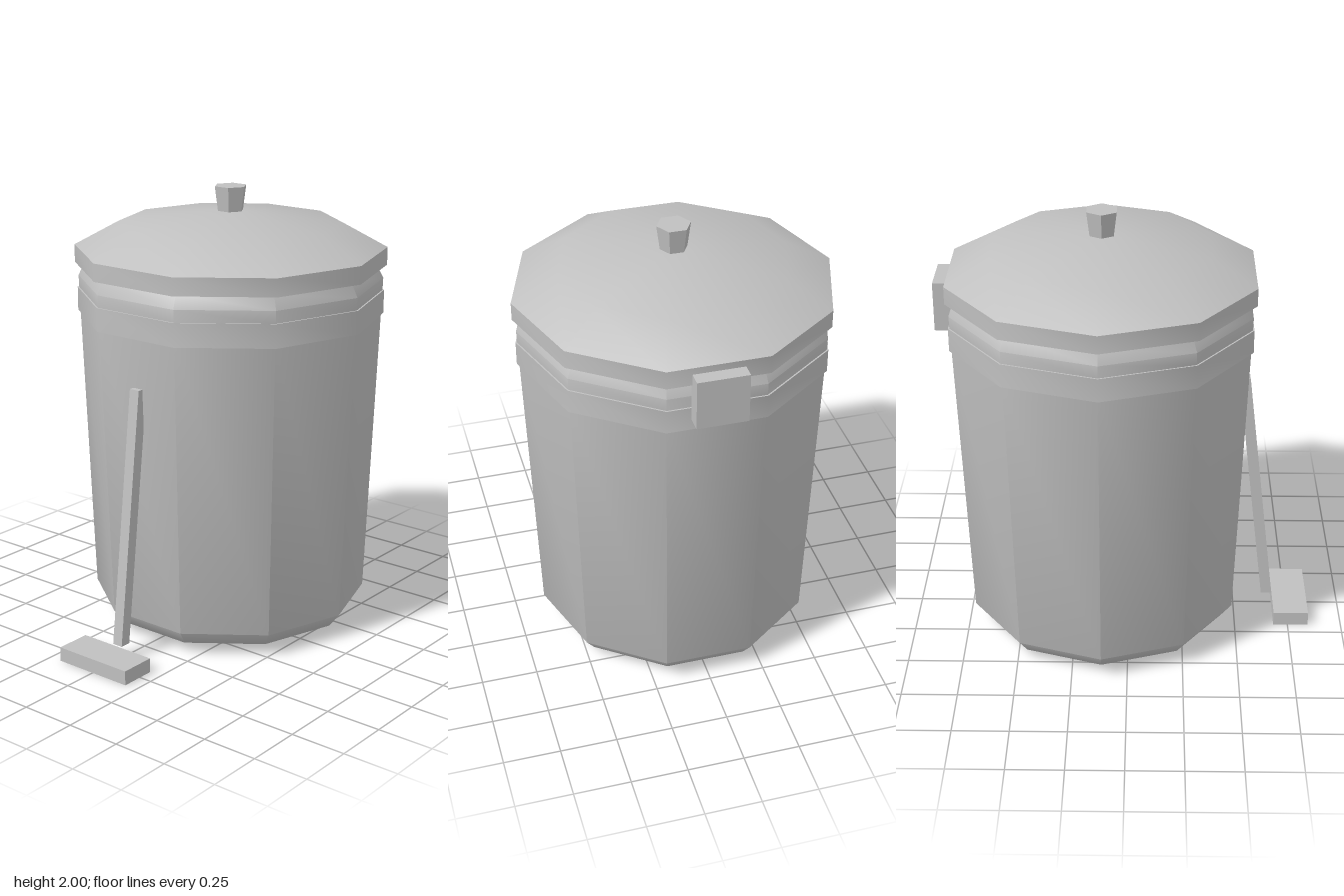
import * as THREE from 'three';
import { toCreasedNormals } from 'three/addons/utils/BufferGeometryUtils.js';

const CENTER_Z = -0.117; // axis of the bin
const SIDES = 10;

export function createModel() {
  const model = new THREE.Group();
  model.name = 'pedalBin';
  const grey = new THREE.MeshStandardMaterial({ color: 0xc0c0c0 });
  grey.name = 'grey metal';

  function add(name, geometry, x = 0, y = 0, z = 0) {
    const mesh = new THREE.Mesh(geometry, grey);
    mesh.name = name;
    mesh.position.set(x, y, z);
    model.add(mesh);
    return mesh;
  }

  // Ten-sided turned part with a corner on the x axis; profile runs bottom to top
  function turned(name, profile) {
    const points = profile.map(([r, y]) => new THREE.Vector2(r, y));
    const lathe = new THREE.LatheGeometry(points, SIDES, Math.PI / 2);
    add(name, toCreasedNormals(lathe, THREE.MathUtils.degToRad(40)), 0, 0, CENTER_Z);
  }

  // Tapered bucket with rounded foot and closed bottom
  turned('body', [[0, 0.005], [0.49, 0.005], [0.58, 0.045], [0.63, 0.11], [0.68, 1.45]]);

  // Raised band and the neck that narrows towards the lid
  turned('rimBand', [
    [0.67, 1.43], [0.69, 1.43], [0.69, 1.535], [0.683, 1.535],
    [0.685, 1.59], [0.655, 1.65],
  ]);

  // Shallow domed lid with upright edge
  turned('lid', [[0, 1.65], [0.7, 1.65], [0.7, 1.73], [0.5, 1.838], [0, 1.895]]);

  // Six-sided flared knob
  const knob = new THREE.CylinderGeometry(0.075, 0.06, 0.11, 6, 1, false, Math.PI / 2);
  add('knob', toCreasedNormals(knob, 0.5), 0, 1.945, CENTER_Z);

  // Hinge block at the back
  add('hinge', new THREE.BoxGeometry(0.22, 0.22, 0.075), 0, 1.59, -0.8075);

  // Foot pedal
  add('pedal', new THREE.BoxGeometry(0.38, 0.065, 0.162), 0, 0.0325, 0.764);

  // Leaning rod: a box sheared backwards so that its ends stay level
  const rod = new THREE.BoxGeometry(0.05, 1.14, 0.05);
  const pos = rod.attributes.position;
  for (let i = 0; i < pos.count; i++) {
    pos.setZ(i, pos.getZ(i) - pos.getY(i) * 0.12);
  }
  rod.computeVertexNormals();
  add('pedalRod', rod, 0, 0.64, 0.588);

  return model;
}
